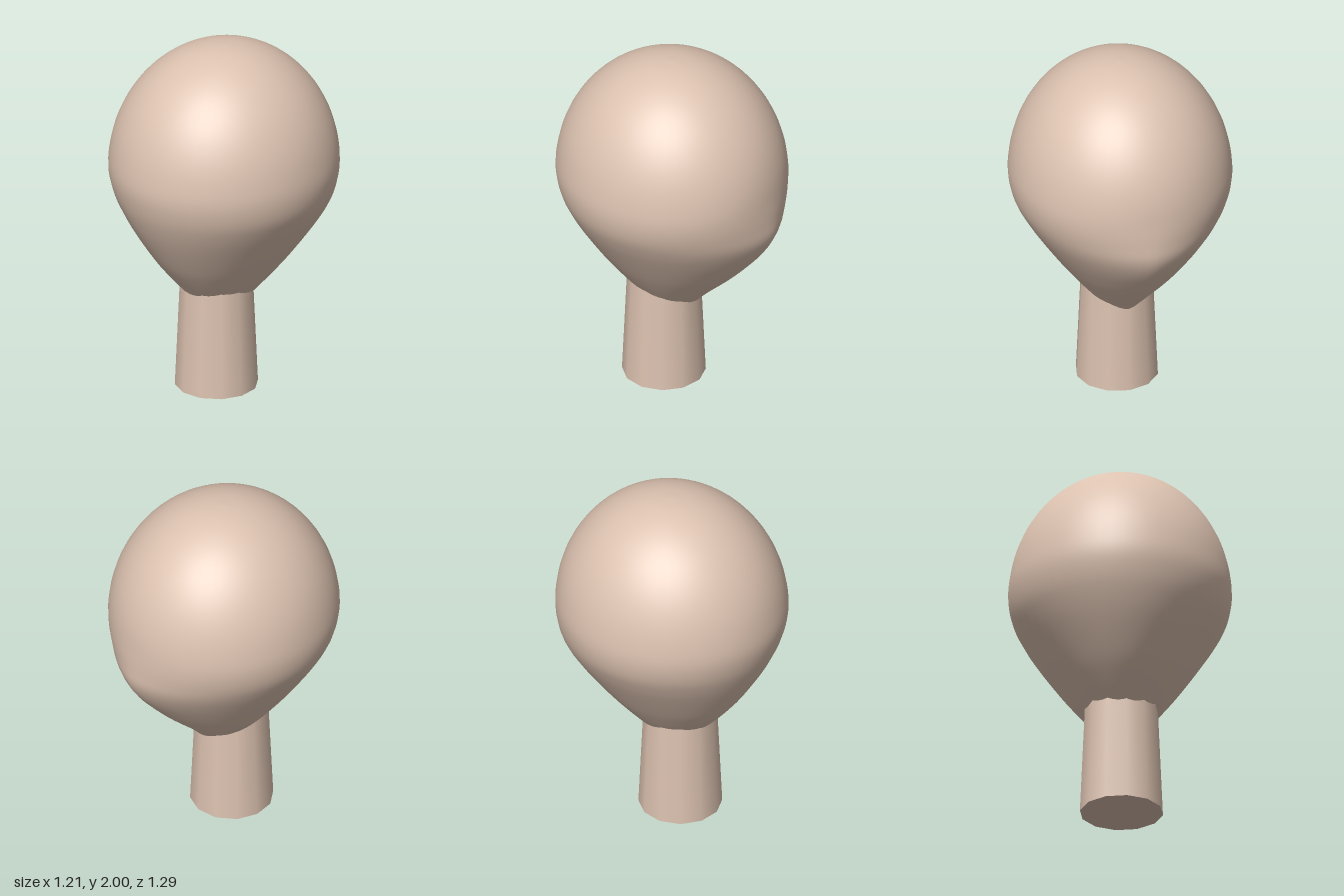
import * as THREE from 'three';
import { mergeVertices } from 'three/addons/utils/BufferGeometryUtils.js';

// Key sections of the head: [y, half width, front z, back z]
function headKeys() {
  const keys = [];
  for (let i = 0; i < 9; i++) {
    const a = (i / 9) * Math.PI / 2, s = Math.sin(a);
    keys.push([1.3 + 0.7 * Math.cos(a), 0.605 * s, 0.645 * s, -0.635 * s]);
  }
  keys.push(
    [1.3, 0.605, 0.645, -0.637],
    [1.18, 0.583, 0.622, -0.642],
    [1.07, 0.53, 0.58, -0.635],
    [0.95, 0.455, 0.518, -0.573],
    [0.8, 0.353, 0.425, -0.448],
    [0.7, 0.279, 0.35, -0.352],
    [0.6, 0.2, 0.265, -0.245],
    [0.55, 0.155, 0.21, -0.195],
    [0.5, 0.08, 0.1, -0.145],
    [0.48, 0, -0.08, -0.08],
  );
  return keys;
}

// Loft through the sections; the back narrows to a soft keel low down
function headGeometry() {
  const keys = headKeys(), rows = 72, cols = 56;
  const [side, front, back] = [1, 2, 3].map(
    k => new THREE.SplineCurve(keys.map(s => new THREE.Vector2(s[k], s[0]))));
  const positions = [], index = [];
  for (let i = 0; i <= rows; i++) {
    const t = i / rows;
    const p = side.getPoint(t), zf = front.getPoint(t).x, zb = back.getPoint(t).x;
    const zm = p.y < 0.6 ? (zf + zb) / 2 * (0.6 - p.y) / 0.12 : 0;
    const keel = 1 + 0.25 * (1 - THREE.MathUtils.smoothstep(p.y, 0.95, 1.35));
    for (let j = 0; j < cols; j++) {
      const a = (j / cols) * Math.PI * 2, s = Math.sin(a), c = Math.cos(a);
      const sx = c < 0 ? Math.sign(s) * Math.abs(s) ** keel : s;
      positions.push(Math.max(p.x, 0) * sx, p.y, zm + (c > 0 ? (zf - zm) * c : (zm - zb) * c));
      if (i < rows) {
        const k = i * cols + j, n = i * cols + (j + 1) % cols;
        index.push(k, k + cols, n, n, k + cols, n + cols);
      }
    }
  }
  const g = new THREE.BufferGeometry();
  g.setAttribute('position', new THREE.Float32BufferAttribute(positions, 3));
  g.setIndex(index);
  const merged = mergeVertices(g, 1e-4);
  merged.computeVertexNormals();
  return merged;
}

export function createModel() {
  const model = new THREE.Group();
  model.name = 'mannequinHead';
  const skin = new THREE.MeshStandardMaterial({ color: 0xdcc2b0 });
  skin.name = 'skin';

  const head = new THREE.Mesh(headGeometry(), skin);
  head.name = 'head';

  // Tapered neck, running up inside the head
  const neck = new THREE.Mesh(new THREE.CylinderGeometry(0.197, 0.227, 0.68, 12), skin);
  neck.name = 'neck';
  neck.position.set(0, 0.34, 0.056);

  model.add(head, neck);
  return model;
}
